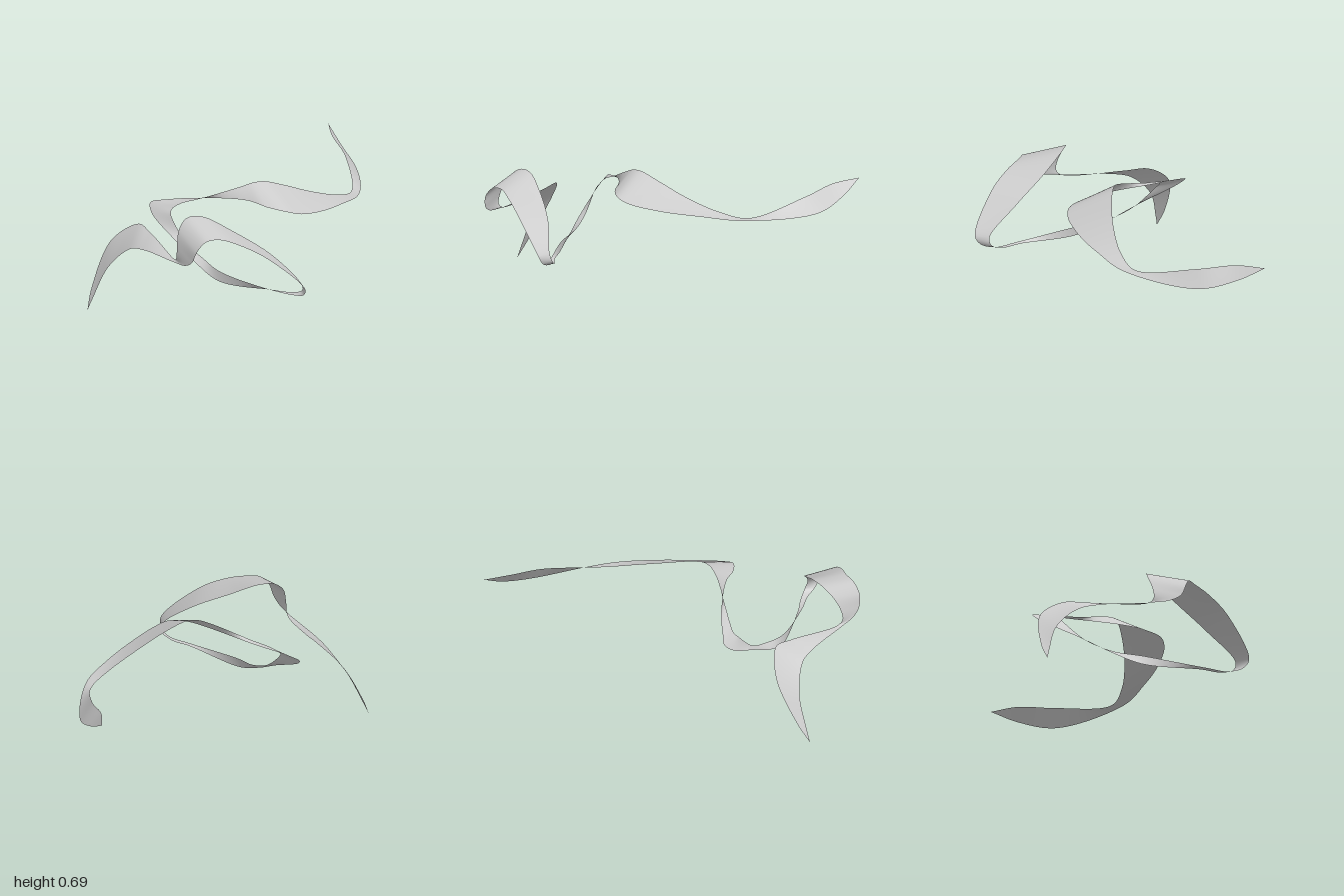
import * as THREE from 'three';

// Smooth edge curve through [x, y, z] points; both edges share the same stations
const edge = (points) => new THREE.CatmullRomCurve3(points.map((p) => new THREE.Vector3(...p)));

// Edge on the outside of the first large bend
const outerEdge = edge([
  [-0.78, 0.6, -1], [-0.62, 0.52, -0.98], [-0.4, 0.455, -0.93], [0, 0.462, -0.66],
  [0.13, 0.49, -0.45], [0.22, 0.515, -0.25], [0.268, 0.55, -0.06], [0.25, 0.575, 0.02],
  [0.16, 0.59, 0.09], [0.02, 0.603, 0.14], [-0.26, 0.57, 0.305], [-0.39, 0.545, 0.41],
  [-0.463, 0.52, 0.475], [-0.42, 0.475, 0.498], [-0.17, 0.355, 0.487], [0, 0.27, 0.468],
  [0.17, 0.212, 0.433], [0.5, 0.232, 0.3], [0.61, 0.238, 0.24], [0.68, 0.265, 0.217],
  [0.69, 0.31, 0.23], [0.53, 0.46, 0.325], [0.35, 0.585, 0.476], [0.235, 0.665, 0.605],
  [0.203, 0.665, 0.69], [0.215, 0.61, 0.755], [0.245, 0.52, 0.79], [0.25, 0.46, 0.797],
  [0.22, 0.435, 0.785], [-0.13, 0.48, 0.71], [-0.27, 0.492, 0.7], [-0.4, 0.37, 0.8],
  [-0.39, 0.12, 0.94], [-0.35, 0, 1],
]);

// Opposite edge
const innerEdge = edge([
  [-0.78, 0.6, -1], [-0.62, 0.588, -0.915], [-0.4, 0.545, -0.85], [-0.07, 0.465, -0.66],
  [0, 0.5, -0.5], [0.025, 0.57, -0.3], [0.02, 0.64, -0.13], [0, 0.685, 0],
  [-0.02, 0.685, 0.06], [-0.06, 0.66, 0.13], [-0.21, 0.58, 0.305], [-0.285, 0.545, 0.39],
  [-0.31, 0.515, 0.43], [-0.295, 0.49, 0.45], [-0.15, 0.36, 0.445], [0, 0.3, 0.428],
  [0.17, 0.268, 0.425], [0.53, 0.237, 0.31], [0.66, 0.236, 0.255], [0.74, 0.26, 0.25],
  [0.772, 0.31, 0.262], [0.66, 0.5, 0.45], [0.56, 0.575, 0.57], [0.48, 0.605, 0.66],
  [0.45, 0.595, 0.735], [0.435, 0.54, 0.785], [0.41, 0.475, 0.8], [0.35, 0.44, 0.805],
  [0.24, 0.428, 0.805], [-0.06, 0.417, 0.812], [-0.18, 0.388, 0.825], [-0.3, 0.255, 0.89],
  [-0.34, 0.07, 0.97], [-0.35, 0, 1],
]);

// Ruled strip between two curves
function ribbonGeometry(a, b, along, across) {
  const positions = [];
  const indices = [];
  for (let i = 0; i <= along; i++) {
    const p = a.getPoint(i / along);
    const q = b.getPoint(i / along);
    for (let j = 0; j <= across; j++) {
      positions.push(...p.clone().lerp(q, j / across).toArray());
      if (i < along && j < across) {
        const k = i * (across + 1) + j;
        const n = k + across + 1;
        indices.push(k, k + 1, n, k + 1, n + 1, n);
      }
    }
  }
  const geometry = new THREE.BufferGeometry();
  geometry.setAttribute('position', new THREE.Float32BufferAttribute(positions, 3));
  geometry.setIndex(indices);
  geometry.computeVertexNormals();
  return geometry;
}

export function createModel() {
  const group = new THREE.Group();
  const material = new THREE.MeshStandardMaterial({ color: 0xcccccc, side: THREE.DoubleSide });
  const ribbon = new THREE.Mesh(ribbonGeometry(outerEdge, innerEdge, 396, 8), material);
  ribbon.name = 'ribbon';
  group.add(ribbon);
  return group;
}
